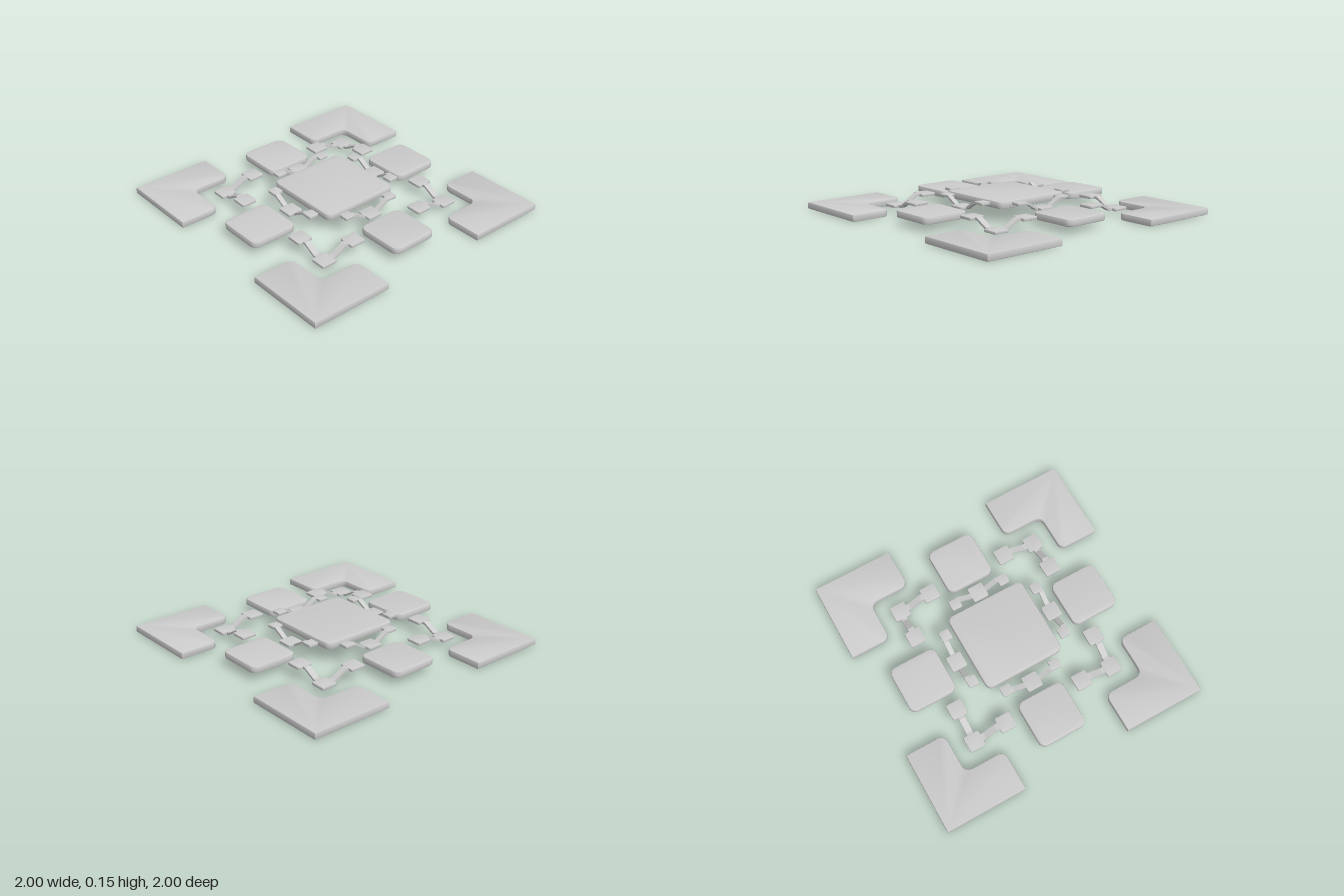
import * as THREE from 'three';
import { toCreasedNormals } from 'three/addons/utils/BufferGeometryUtils.js';

const material = new THREE.MeshStandardMaterial({ color: 0xcccccc });

// Closed outline in x/z from corners [x, z, radius]
function roundedOutline(corners) {
  const shape = new THREE.Shape();
  const n = corners.length;
  const toward = (a, b, d) => {
    const l = Math.hypot(b[0] - a[0], b[1] - a[1]);
    return [a[0] + (b[0] - a[0]) * d / l, a[1] + (b[1] - a[1]) * d / l];
  };
  corners.forEach((c, i) => {
    const prev = corners[(i + n - 1) % n], next = corners[(i + 1) % n], r = c[2];
    const start = toward(c, prev, r), end = toward(c, next, r);
    if (i === 0) shape.moveTo(...start);
    else shape.lineTo(...start);
    if (r > 0) {
      shape.bezierCurveTo(...toward(c, prev, r * 0.45), ...toward(c, next, r * 0.45), ...end);
    }
  });
  shape.closePath();
  return shape;
}

// Flat slab with softened edges between heights y0 and y1
function slab(name, corners, y0, y1, bevel) {
  let geometry = new THREE.ExtrudeGeometry(roundedOutline(corners), {
    depth: y1 - y0 - 2 * bevel, bevelThickness: bevel, bevelSize: bevel,
    bevelOffset: -bevel, bevelSegments: 2, curveSegments: 6,
  });
  geometry.translate(0, 0, bevel).rotateX(Math.PI / 2).translate(0, y1, 0);
  geometry = toCreasedNormals(geometry, 0.6);
  const mesh = new THREE.Mesh(geometry, material);
  mesh.name = name;
  return mesh;
}

const rect = (x0, x1, z0, z1, r) => [[x0, z0, r], [x1, z0, r], [x1, z1, r], [x0, z1, r]];

// Bent strip along x following top-edge points [x, y], centred on z = 0
function bentBar(name, path, width, thickness) {
  const under = path.map(([x, y]) => [x, y - thickness]).reverse();
  const shape = new THREE.Shape([...path, ...under].map(p => new THREE.Vector2(...p)));
  const geometry = new THREE.ExtrudeGeometry(shape, { depth: width, bevelEnabled: false });
  geometry.translate(0, 0, -width / 2);
  const mesh = new THREE.Mesh(geometry, material);
  mesh.name = name;
  return mesh;
}

// L-shaped link from the corner level up to the two neighbouring side pads
function cornerLink() {
  const group = new THREE.Group();
  group.name = 'cornerLink';
  const c = 0.547, e = 0.303, h = 0.058;
  const pad = (name, x, z, top) =>
    slab(name, rect(x - h, x + h, z - h, z + h, 0.012), top - 0.02, top, 0.003);
  const path = [[0.35, 0.099], [0.38, 0.099], [0.47, 0.049], [0.5, 0.049]];
  const barX = bentBar('linkArm', path, 0.046, 0.018);
  barX.position.z = c;
  const barZ = bentBar('linkArm', path, 0.046, 0.018);
  barZ.rotation.y = -Math.PI / 2;
  barZ.position.x = c;
  group.add(pad('lowLinkPad', c, c, 0.05), pad('highLinkPad', e, c, 0.1),
    pad('highLinkPad', c, e, 0.1), barX, barZ);
  return group;
}

// Straight link from a side pad up to the centre platform
function sideLink() {
  const group = new THREE.Group();
  group.name = 'sideLink';
  group.add(slab('lowLinkPad', rect(-0.058, 0.058, 0.327, 0.441, 0.012), 0.08, 0.1, 0.003));
  for (const s of [-1, 1]) {
    const x0 = s < 0 ? -0.23 : 0.153;
    group.add(slab('highLinkPad', rect(x0, x0 + 0.077, 0.327, 0.402, 0.01), 0.13, 0.15, 0.003));
    const path = [[0.045, 0.099], [0.06, 0.099], [0.145, 0.149], [0.17, 0.149]];
    const bar = bentBar('linkArm', path, 0.036, 0.018);
    // turning the bar half round gives the opposite arm
    if (s < 0) bar.rotation.y = Math.PI;
    bar.position.z = 0.383;
    group.add(bar);
  }
  return group;
}

export function createModel() {
  const model = new THREE.Group();
  model.name = 'tieredPlatforms';

  // Highest platform
  model.add(slab('centrePlatform', rect(-0.297, 0.297, -0.297, 0.297, 0.045), 0.1, 0.15, 0.01));

  // Corner plate: an L with a rounded notch facing the centre
  const corner = [
    [1, 1, 0], [0.405, 1, 0], [0.405, 0.705, 0.05],
    [0.705, 0.705, 0.055], [0.705, 0.405, 0.05], [1, 0.405, 0],
  ];

  // Four identical quarters around the centre
  for (let i = 0; i < 4; i++) {
    const quarter = new THREE.Group();
    quarter.name = 'quarter';
    quarter.rotation.y = i * Math.PI / 2;
    quarter.add(
      slab('cornerPlate', corner, 0, 0.05, 0.008),
      slab('sidePad', rect(-0.177, 0.177, 0.473, 0.827, 0.05), 0.05, 0.1, 0.01),
      cornerLink(),
      sideLink(),
    );
    model.add(quarter);
  }
  return model;
}
